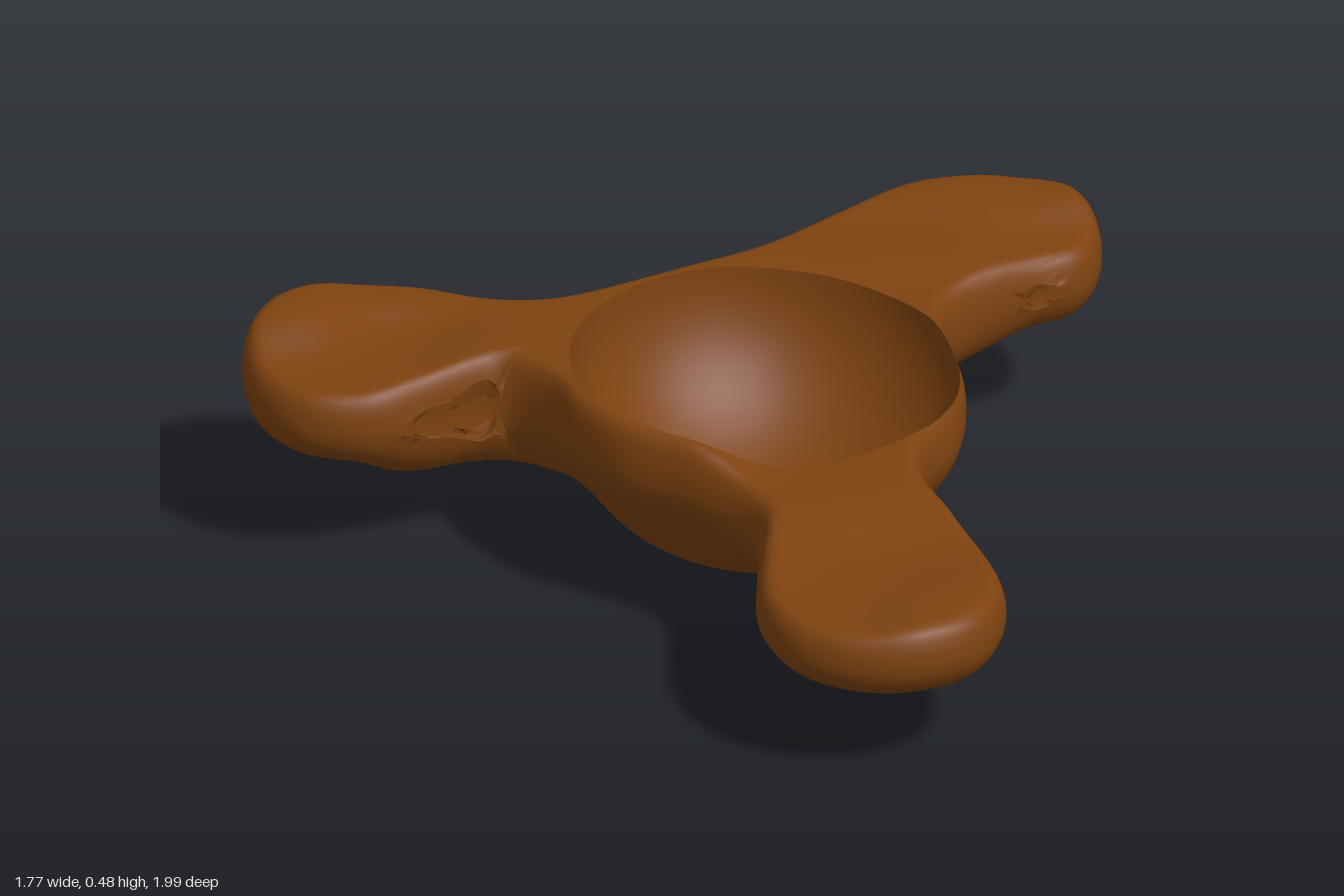
import * as THREE from 'three';
import { mergeVertices } from 'three/addons/utils/BufferGeometryUtils.js';

// Bowl centre and rim radius
const CX = -0.14, CZ = -0.035, RIM = 0.415;

// Plan outline of bowl and three lobes: x, z, matching rim angle in degrees
const OUTLINE = [
  [0.88, -0.06, -4], [0.83, 0.07, -2.5], [0.7, 0.135, -1], [0.57, 0.09, 4], [0.42, 0.06, 8], [0.32, 0.08, 14],
  [0.24, 0.17, 28], [0.15, 0.28, 47], [0.02, 0.37, 68], [-0.13, 0.42, 89],
  [-0.22, 0.49, 99], [-0.29, 0.64, 104], [-0.38, 0.82, 107], [-0.48, 0.94, 110], [-0.62, 0.995, 114],
  [-0.76, 0.95, 118], [-0.86, 0.83, 122], [-0.885, 0.69, 126], [-0.82, 0.54, 131], [-0.7, 0.43, 136],
  [-0.59, 0.34, 142], [-0.56, 0.25, 148], [-0.575, 0.1, 163], [-0.6, -0.05, 182], [-0.57, -0.2, 201],
  [-0.51, -0.34, 218], [-0.52, -0.45, 229], [-0.65, -0.51, 237], [-0.79, -0.57, 240], [-0.88, -0.69, 242],
  [-0.87, -0.83, 244], [-0.78, -0.95, 246], [-0.64, -0.995, 248], [-0.5, -0.95, 250], [-0.38, -0.81, 253],
  [-0.29, -0.65, 257], [-0.21, -0.565, 262], [0, -0.48, 288], [0.25, -0.41, 316], [0.5, -0.37, 333],
  [0.66, -0.31, 341], [0.8, -0.2, 350],
];

// Height guides: x, z, top, underside
const HEIGHTS = [
  [0.28, 0, 0.43, 0.2], [-0.1, -0.45, 0.46, 0.2], [-0.56, -0.05, 0.46, 0.22], [-0.15, 0.38, 0.41, 0.2],
  [0.45, -0.15, 0.45, 0.2], [0.7, -0.25, 0.485, 0.21], [0.72, 0.1, 0.43, 0.24], [0.85, -0.05, 0.475, 0.26],
  [-0.42, -0.5, 0.46, 0.16], [-0.55, -0.7, 0.43, 0.16], [-0.62, -0.95, 0.485, 0.28], [-0.85, -0.72, 0.42, 0.24],
  [-0.45, -0.8, 0.47, 0.21],
  [-0.42, 0.45, 0.4, 0.19], [-0.55, 0.65, 0.36, 0.155], [-0.6, 0.92, 0.375, 0.19], [-0.82, 0.7, 0.35, 0.19],
];

const PER = 8, COUNT = OUTLINE.length * PER, STEPS = 20;
const curve = new THREE.CatmullRomCurve3(OUTLINE.map(([x, z]) => new THREE.Vector3(x, 0, z)), true);
const edge = [];
for (let k = 0; k < COUNT; k++) {
  const p = curve.getPoint(k / COUNT), i = Math.floor(k / PER);
  const a = OUTLINE[i][2], b = i + 1 < OUTLINE.length ? OUTLINE[i + 1][2] : OUTLINE[0][2] + 360;
  edge.push({ x: p.x, z: p.z, angle: THREE.MathUtils.degToRad(a + (b - a) * (k % PER) / PER) });
}

// Shortest distance from a plan point to the outline
function edgeDistance(x, z) {
  let best = Infinity;
  for (let k = 0; k < COUNT; k++) {
    const a = edge[k], b = edge[(k + 1) % COUNT];
    const ux = b.x - a.x, uz = b.z - a.z;
    const t = THREE.MathUtils.clamp(((x - a.x) * ux + (z - a.z) * uz) / (ux * ux + uz * uz), 0, 1);
    best = Math.min(best, (x - a.x - t * ux) ** 2 + (z - a.z - t * uz) ** 2);
  }
  return Math.sqrt(best);
}

// Top and underside heights blended from the guides, with rounded edges
function surface(x, z) {
  let sum = 0, top = 0, low = 0;
  for (const [gx, gz, gTop, gLow] of HEIGHTS) {
    const w = 1 / ((x - gx) ** 2 + (z - gz) ** 2 + 0.008) ** 2;
    sum += w; top += w * gTop; low += w * gLow;
  }
  top /= sum; low /= sum;
  const mid = low + (top - low) * 0.57;
  const r = Math.min(Math.hypot(x - CX, z - CZ) / 0.47, 1);
  const bowl = 0.42 * (1 - Math.sqrt(1 - r * r));
  const h = Math.max(0.06 - Math.abs(low - bowl), 0) / 0.06;
  const under = Math.min(low, bowl) - h * h * 0.015;
  const d = edgeDistance(x, z);
  const round = (w) => Math.sqrt(1 - (1 - Math.min(d / w, 1)) ** 3);
  return { top: mid + (top - mid) * round(0.05), under: mid - (mid - under) * round(0.16) };
}

// Skin a closed ring of columns, each a list of points
function skin(columns) {
  const rows = columns[0].length, index = [];
  for (let k = 0; k < COUNT; k++) {
    const n = (k + 1) % COUNT;
    for (let j = 0; j < rows - 1; j++) {
      const a = k * rows + j, c = n * rows + j;
      index.push(a, c, a + 1, c, c + 1, a + 1);
    }
  }
  const geometry = new THREE.BufferGeometry();
  geometry.setAttribute('position', new THREE.Float32BufferAttribute(columns.flat(2), 3));
  geometry.setIndex(index);
  const welded = mergeVertices(geometry, 1e-5);
  welded.computeVertexNormals();
  return welded;
}

export function createModel() {
  const brown = new THREE.MeshStandardMaterial({ color: 0x7d4210, side: THREE.DoubleSide });
  brown.name = 'brown';

  const bodyColumns = [], hollowColumns = [];
  for (const e of edge) {
    const dx = Math.cos(e.angle), dz = Math.sin(e.angle);
    const rx = CX + dx * RIM, rz = CZ + dz * RIM;
    const upper = [], lower = [];
    // Rim out to the outline, with points crowded at the rounded edge
    for (let j = 0; j <= STEPS; j++) {
      const u = 1 - (1 - j / STEPS) ** 2;
      const x = rx + (e.x - rx) * u, z = rz + (e.z - rz) * u, s = surface(x, z);
      upper.push([x, s.top, z]);
      lower.unshift([x, s.under, z]);
    }
    // Underside of the bowl, in to the centre
    for (let j = 11; j >= 0; j--) {
      const r = RIM * j / 12, x = CX + dx * r, z = CZ + dz * r;
      lower.push([x, surface(x, z).under, z]);
    }
    bodyColumns.push([...upper, ...lower.slice(1)]);

    // Hollow of the bowl, from the centre up to the rim
    const hollow = [], rimY = upper[0][1], floor = 0.07;
    for (let j = 0; j <= 14; j++) {
      const q = Math.sin(j / 14 * Math.PI / 2), r = RIM * q;
      const y = floor + (rimY - floor) * (1 - Math.sqrt(Math.max(0, 1 - q * q)));
      hollow.push([CX + dx * r, y, CZ + dz * r]);
    }
    hollowColumns.push(hollow);
  }

  const group = new THREE.Group();
  group.name = 'threeLobedBowl';
  for (const [name, columns] of [['lobedBody', bodyColumns], ['bowlHollow', hollowColumns]]) {
    const mesh = new THREE.Mesh(skin(columns), brown);
    mesh.name = name;
    group.add(mesh);
  }
  return group;
}
